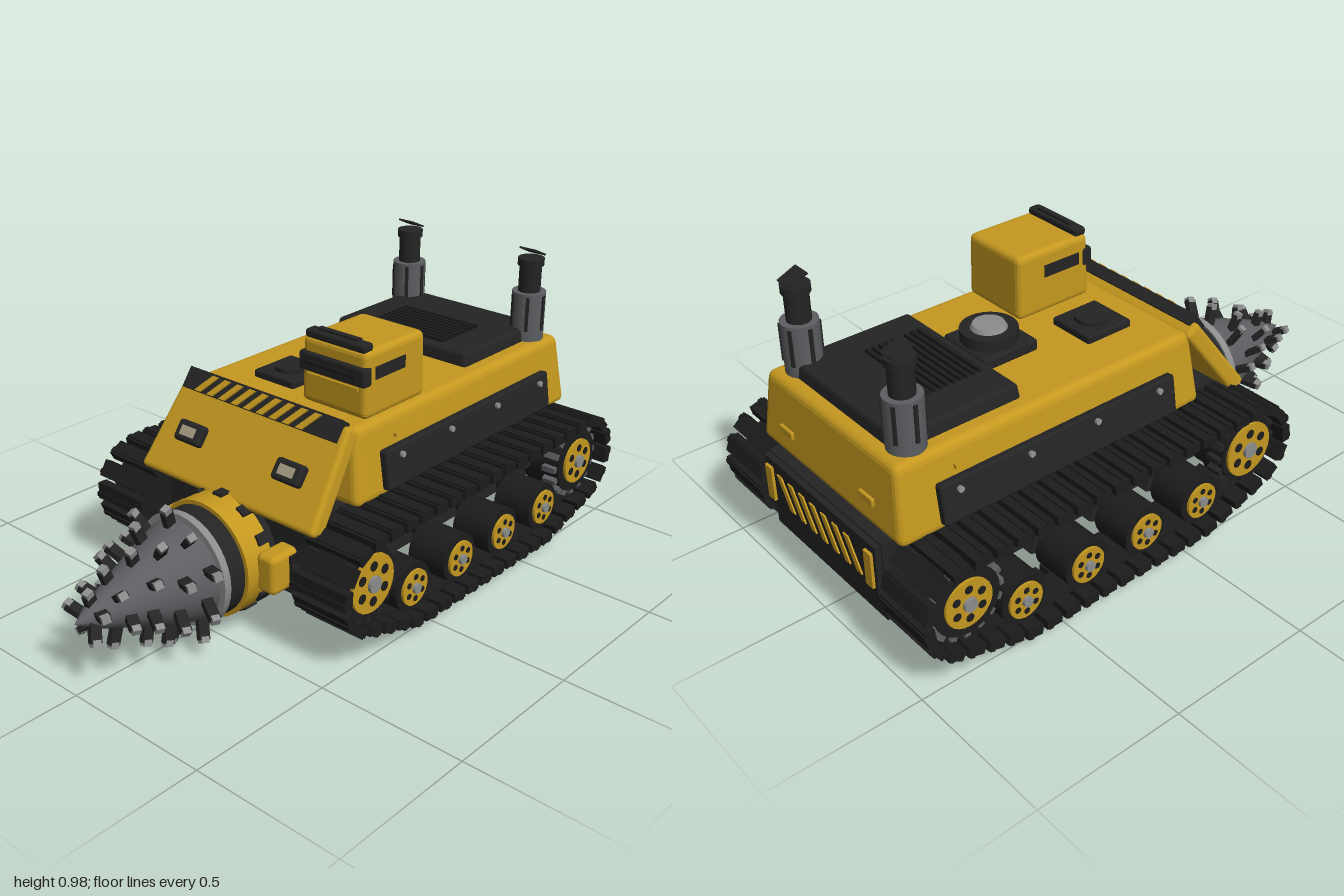
import * as THREE from 'three';
import { RoundedBoxGeometry } from 'three/addons/geometries/RoundedBoxGeometry.js';

const mat = (name, color) => {
  const m = new THREE.MeshStandardMaterial({ color });
  m.name = name;
  return m;
};

export function createModel() {
  const yellow = mat('yellow paint', 0xc4981f);
  const black = mat('black metal', 0x242424);
  const rubber = mat('track black', 0x1c1c1c);
  const steel = mat('drill steel', 0x5c5e61);
  const pale = mat('bright steel', 0x8b8c8c);
  const lamp = mat('lamp glass', 0xa39a80);

  const add = (parent, name, geo, m, x = 0, y = 0, z = 0) => {
    const mesh = new THREE.Mesh(geo, m);
    mesh.name = name;
    mesh.position.set(x, y, z);
    parent.add(mesh);
    return mesh;
  };
  const group = (parent, name, x = 0, y = 0, z = 0) => {
    const g = new THREE.Group();
    g.name = name;
    g.position.set(x, y, z);
    parent.add(g);
    return g;
  };
  const box = (w, h, d) => new THREE.BoxGeometry(w, h, d);
  const round = (w, h, d, r = 0.015) => new RoundedBoxGeometry(w, h, d, 2, r);
  const cyl = (r, h, n = 28, r2 = r) => new THREE.CylinderGeometry(r2, r, h, n);
  const cylX = (r, h, n) => cyl(r, h, n).rotateZ(Math.PI / 2);
  const cylZ = (r, h, n) => cyl(r, h, n).rotateX(Math.PI / 2);
  // narrows a geometry linearly towards its top
  const taper = (geo, h, kx, kz) => {
    const p = geo.attributes.position;
    for (let i = 0; i < p.count; i++) {
      const t = p.getY(i) / h + 0.5;
      p.setX(i, p.getX(i) * (1 - kx * t));
      p.setZ(i, p.getZ(i) * (1 - kz * t));
    }
    geo.computeVertexNormals();
    return geo;
  };
  // slanted hazard stripe, centred
  const stripe = (w, h, lean) => {
    const s = new THREE.Shape();
    s.moveTo(-w / 2 - lean / 2, -h / 2);
    s.lineTo(w / 2 - lean / 2, -h / 2);
    s.lineTo(w / 2 + lean / 2, h / 2);
    s.lineTo(-w / 2 + lean / 2, h / 2);
    return new THREE.ExtrudeGeometry(s, { depth: 0.005, bevelEnabled: false });
  };

  const model = new THREE.Group();
  model.name = 'drillingVehicle';

  // Lower chassis and upper hull
  add(model, 'chassis', box(0.6, 0.27, 1.3), black, 0, 0.265, -0.315);
  add(model, 'hull', taper(round(0.74, 0.245, 1.14, 0.025), 0.245, 0.1, 0.04), yellow, 0, 0.53, -0.375);

  // Sloped front plate with hazard bar and headlights
  const plate = group(model, 'frontPlate', 0, 0.54, 0.3);
  plate.rotation.x = -0.63;
  add(plate, 'slab', taper(round(0.74, 0.34, 0.06), 0.34, 0.08, 0), yellow, 0, 0, -0.03);
  add(plate, 'hazardBar', box(0.64, 0.07, 0.04), black, 0, 0.145, -0.002);
  for (let i = 0; i < 9; i++)
    add(plate, 'hazardStripe', stripe(0.026, 0.062, 0.05), yellow, -0.225 + i * 0.054, 0.142, 0.018);
  for (const s of [-1, 1]) {
    add(plate, 'headlightHousing', round(0.11, 0.07, 0.036, 0.012), black, s * 0.21, -0.02, 0.01);
    add(plate, 'headlightGlass', box(0.06, 0.032, 0.008), lamp, s * 0.21, -0.02, 0.028);
  }

  // Side panels, bolts and rails
  for (const s of [-1, 1]) {
    const side = group(model, 'sidePanel', s * 0.366, 0.495, -0.37);
    side.rotation.z = s * 0.15;
    add(side, 'panel', round(0.035, 0.13, 0.88, 0.01), black);
    add(side, 'rail', box(0.012, 0.012, 0.75), yellow, s * 0.002, 0.095, 0);
    for (let i = 0; i < 4; i++)
      add(side, 'bolt', cylX(0.01, 0.015, 10), pale, s * 0.02, 0.035, 0.37 - i * 0.25);
  }

  // Roof cabin
  const cabin = group(model, 'cabin', 0.187, 0.76, -0.043);
  add(cabin, 'cabinBody', taper(round(0.26, 0.215, 0.29, 0.02), 0.215, 0.03, 0.03), yellow);
  add(cabin, 'visionSlit', round(0.262, 0.062, 0.04, 0.01), black, 0, 0.03, 0.135);
  add(cabin, 'slitGlass', box(0.2, 0.012, 0.006), rubber, 0, 0.03, 0.157);
  add(cabin, 'lowerLip', box(0.2, 0.01, 0.012), yellow, 0, -0.012, 0.145);
  add(cabin, 'roofLightBar', round(0.235, 0.028, 0.045, 0.01), black, 0, 0.115, 0.118);
  add(cabin, 'roofLamp', box(0.16, 0.01, 0.02), black, 0, 0.131, 0.115);
  for (const s of [-1, 1])
    add(cabin, 'sideSlit', box(0.008, 0.04, 0.14), black, s * 0.127, 0.035, 0.03);

  // Hatch, periscope and engine deck
  add(model, 'hatch', round(0.17, 0.03, 0.175, 0.008), black, -0.1, 0.662, -0.027);
  add(model, 'hatchLid', cyl(0.055, 0.014), black, -0.1, 0.683, -0.027);
  add(model, 'periscopeBase', round(0.21, 0.04, 0.2, 0.01), black, 0, 0.668, -0.345);
  add(model, 'periscopeRing', cyl(0.09, 0.04), black, 0, 0.705, -0.35);
  add(model, 'periscopeCap', cyl(0.06, 0.018, 28, 0.05), pale, 0, 0.729, -0.35);
  add(model, 'engineDeck', taper(round(0.56, 0.055, 0.43, 0.012), 0.055, 0.03, 0.03), black, 0, 0.67, -0.665);
  for (let i = 0; i < 9; i++)
    add(model, 'louvre', box(0.31, 0.014, 0.012), rubber, 0, 0.702, -0.5 - i * 0.023);

  // Exhaust stacks
  for (const s of [-1, 1]) {
    const stack = group(model, 'exhaust', s * 0.26, 0, -0.835);
    add(stack, 'muffler', cyl(0.058, 0.17, 20), steel, 0, 0.735, 0);
    for (let i = 0; i < 6; i++) {
      const a = i * Math.PI / 3 + Math.PI / 6;
      add(stack, 'mufflerRib', box(0.012, 0.12, 0.012), black, Math.sin(a) * 0.056, 0.75, Math.cos(a) * 0.056).rotation.y = a;
    }
    add(stack, 'pipe', cyl(0.038, 0.11, 20), black, 0, 0.87, 0);
    add(stack, 'pipeCollar', cyl(0.045, 0.025, 20), black, 0, 0.924, 0);
    add(stack, 'rainFlap', box(0.065, 0.006, 0.07), black, 0, 0.958, -0.005).rotation.x = -0.42;
  }

  // Rear panel with hazard stripes and handles
  add(model, 'rearPanel', box(0.59, 0.17, 0.025), black, 0, 0.31, -0.972);
  for (const s of [-1, 1]) {
    add(model, 'rearPanelEnd', box(0.035, 0.12, 0.012), yellow, s * 0.265, 0.31, -0.988);
    add(model, 'rearHandle', round(0.07, 0.028, 0.012, 0.005), yellow, s * 0.21, 0.5, -0.944);
  }
  for (let i = 0; i < 7; i++)
    add(model, 'rearStripe', stripe(0.025, 0.1, -0.06).rotateY(Math.PI), yellow, -0.18 + i * 0.06, 0.31, -0.985);

  // Drill: mount, collar and cone
  const drill = group(model, 'drill', 0, 0.228, 0);
  add(drill, 'mount', cylZ(0.17, 0.16), black, 0, 0, 0.32);
  add(drill, 'collar', cylZ(0.192, 0.105, 36), yellow, 0, 0, 0.43);
  add(drill, 'bearing', cylZ(0.178, 0.08, 36), black, 0, 0, 0.51);
  add(drill, 'basePlate', cylZ(0.185, 0.025, 36), pale, 0, 0, 0.56);
  for (let i = 0; i < 12; i++) {
    const a = i * Math.PI / 6;
    add(drill, 'collarBlock', box(0.035, 0.02, 0.05), black, -Math.sin(a) * 0.19, Math.cos(a) * 0.19, 0.395).rotation.z = a;
  }
  for (const s of [-1, 1]) {
    add(drill, 'sideBracket', round(0.075, 0.13, 0.14, 0.02), yellow, s * 0.215, 0.005, 0.37);
    add(drill, 'bracketArm', box(0.05, 0.09, 0.1), black, s * 0.24, 0.01, 0.32);
  }
  const profile = [[0.166, 0.57], [0.152, 0.62], [0.118, 0.72], [0.076, 0.83], [0.04, 0.92], [0, 0.985]];
  add(drill, 'cone', new THREE.LatheGeometry(profile.map(p => new THREE.Vector2(...p)), 36).rotateX(Math.PI / 2), steel);

  // Cutting teeth: rows of [z, radius, count, length, start angle]
  const rows = [[0.61, 0.155, 10, 0.11, 0.1], [0.69, 0.128, 8, 0.1, 0.4], [0.77, 0.098, 7, 0.085, 0],
    [0.85, 0.068, 6, 0.075, 0.3], [0.93, 0.037, 5, 0.06, 0.1]];
  for (const [z, r, n, len, start] of rows)
    for (let i = 0; i < n; i++) {
      const spin = group(drill, 'tooth');
      spin.rotation.z = start + i * Math.PI * 2 / n;
      const tooth = group(spin, 'toothBody', 0, r + 0.01, z + (i % 2) * 0.02 - 0.01);
      tooth.rotation.set(0.35, 0, -0.25);
      add(tooth, 'shank', box(0.02, len, 0.035), black);
      add(tooth, 'tip', box(0.023, 0.02, 0.026), pale, 0, len / 2, 0);
    }

  // Track path in (z, y)
  const path = new THREE.Path();
  const low = Math.PI * 0.4;
  path.absarc(0.285, 0.257, 0.143, Math.PI / 2, -low, true);
  path.lineTo(0.08, 0.043);
  path.lineTo(-0.62, 0.043);
  path.absarc(-0.835, 0.254, 0.146, -Math.PI + low, -Math.PI * 1.5, true);
  path.lineTo(0.285, 0.4);
  const count = 44;
  const pts = path.getSpacedPoints(count);

  const wheel = (parent, name, z, y, r, discR, s) => {
    const w = group(parent, name, s * 0.43, y, z);
    add(w, 'tyre', cylX(r, 0.14), rubber);
    add(w, 'disc', cylX(discR, 0.012, 24), yellow, s * 0.073, 0, 0);
    add(w, 'hub', cylX(discR * 0.28, 0.025, 14), pale, s * 0.078, 0, 0);
    for (let i = 0; i < 6; i++) {
      const a = i * Math.PI / 3;
      add(w, 'discHole', cylX(discR * 0.17, 0.006, 10), rubber, s * 0.078, Math.cos(a) * discR * 0.62, Math.sin(a) * discR * 0.62);
    }
    return w;
  };

  const shoe = box(0.212, 0.032, 0.056), link = box(0.1, 0.014, 0.08), grouser = box(0.212, 0.012, 0.016);
  for (const s of [-1, 1]) {
    const track = group(model, s > 0 ? 'leftTrack' : 'rightTrack');
    for (let i = 0; i < count; i++) {
      const a = pts[(i + count - 1) % count], b = pts[(i + 1) % count];
      const seg = group(track, 'trackSegment', s * 0.432, pts[i].y, pts[i].x);
      seg.rotation.x = Math.atan2(b.x - a.x, b.y - a.y) - Math.PI / 2;
      seg.rotation.x = -Math.atan2(b.y - a.y, b.x - a.x);
      // the path runs clockwise, so local +y points outward on the top run
      add(seg, 'shoe', shoe, rubber);
      add(seg, 'grouser', grouser, rubber, 0, 0.015, 0.012);
      add(seg, 'link', link, rubber, 0, -0.018, 0);
    }
    // Sprockets with teeth, road wheels and suspension arms
    for (const [z, r] of [[0.285, 0.095], [-0.83, 0.08]]) {
      const w = wheel(track, 'sprocket', z, 0.254, 0.112, r, s);
      for (let i = 0; i < 16; i++) {
        const a = i * Math.PI / 8;
        add(w, 'sprocketTooth', box(0.05, 0.03, 0.02), z < 0 ? steel : black, s * 0.04, Math.cos(a) * 0.115, Math.sin(a) * 0.115).rotation.x = a;
      }
    }
    for (let i = 0; i < 4; i++) {
      const z = 0.08 - i * 0.237;
      wheel(track, 'roadWheel', z, 0.15, 0.082, 0.06, s);
      add(track, 'suspensionArm', box(0.05, 0.16, 0.06), black, s * 0.32, 0.2, z - 0.03).rotation.x = 0.4;
    }
    for (const z of [-0.02, -0.55])
      add(track, 'returnRoller', cylX(0.028, 0.16, 16), black, s * 0.4, 0.345, z);
  }
  return model;
}
